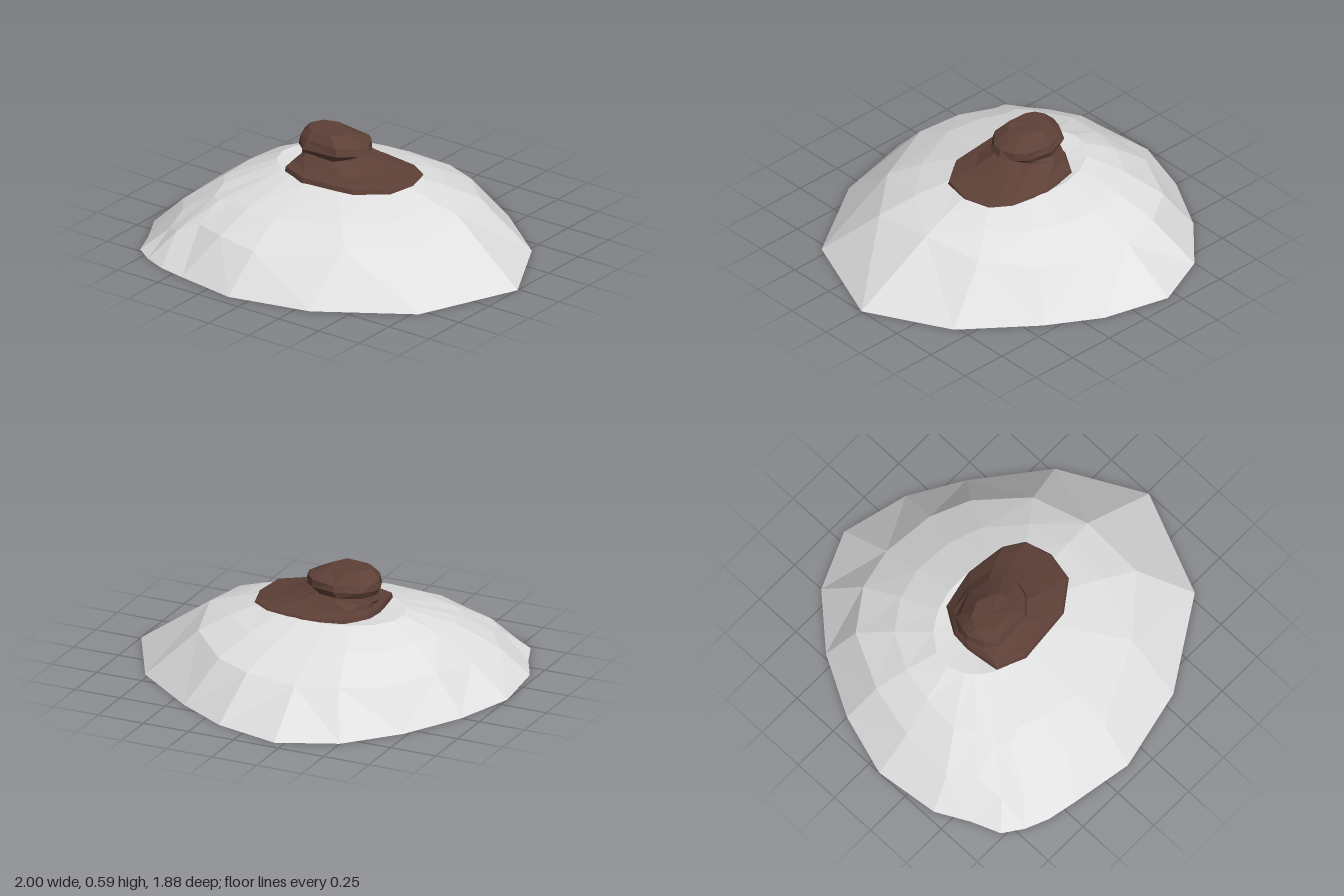
import * as THREE from 'three';

const gap = (p, q) => Math.hypot(p[0] - q[0], p[1] - q[1], p[2] - q[2]);

// Lofts rings of [x, y, z] into a faceted surface, splitting each quad along its
// shorter diagonal; the ends can be closed.
function loft(rings, closed) {
  const pos = [];
  const tri = (...pts) => pts.forEach((p) => pos.push(...p));
  const n = rings[0].length;
  for (let j = 0; j < rings.length - 1; j++) {
    for (let i = 0; i < n; i++) {
      const k = (i + 1) % n;
      const a = rings[j][i], b = rings[j][k], c = rings[j + 1][k], d = rings[j + 1][i];
      if (gap(b, d) < gap(a, c)) tri(a, d, b, b, d, c);
      else tri(a, d, c, a, c, b);
    }
  }
  const cap = (ring, top) => {
    const mid = [0, 1, 2].map((q) => ring.reduce((s, p) => s + p[q], 0) / n);
    ring.forEach((p, i) => {
      const next = ring[(i + 1) % n];
      if (top) tri(p, mid, next);
      else tri(p, next, mid);
    });
  };
  if (closed) {
    cap(rings[rings.length - 1], true);
    cap(rings[0], false);
  }
  const g = new THREE.BufferGeometry();
  g.setAttribute('position', new THREE.Float32BufferAttribute(pos, 3));
  g.computeVertexNormals();
  return g;
}

function moundGeometry() {
  // Ground outline (x, z)
  const outline = [
    [1, 0.01], [0.78, 0.54], [0.32, 0.835], [-0.11, 0.935], [-0.44, 0.88], [-0.59, 0.85],
    [-0.71, 0.8], [-0.81, 0.73], [-0.87, 0.58], [-0.96, 0.41], [-1, 0.07], [-0.9, -0.25],
    [-0.73, -0.56], [-0.5, -0.815], [-0.2, -0.945], [0.15, -0.855], [0.42, -0.695], [0.77, -0.42],
  ];
  // Uneven shoulder halfway up the slope, with a ledge at the front (x, y, z)
  const shoulder = [
    [0.6, 0.285, -0.03], [0.6, 0.24, 0.31], [0.32, 0.235, 0.55], [-0.09, 0.19, 0.755],
    [-0.32, 0.2, 0.72], [-0.5, 0.19, 0.65], [-0.61, 0.14, 0.69], [-0.7, 0.11, 0.63],
    [-0.72, 0.16, 0.49], [-0.82, 0.14, 0.36], [-0.8, 0.17, 0.07], [-0.74, 0.2, -0.2],
    [-0.6, 0.2, -0.48], [-0.4, 0.21, -0.62], [-0.18, 0.2, -0.67], [0.1, 0.21, -0.64],
    [0.3, 0.22, -0.55], [0.52, 0.25, -0.33],
  ];
  const ellipse = (cx, rx, rz, y) => outline.map(([x, z]) => {
    const a = Math.atan2(z, x);
    return [cx + rx * Math.cos(a), y, rz * Math.sin(a)];
  });
  const crown = ellipse(-0.08, 0.375, 0.26, 0.377);
  const upper = shoulder.map((p, i) => {
    const t = 0.5 - 0.15 * Math.max(0, p[2]);
    const q = crown[i];
    const lift = (0.3 - p[1]) * 0.2;
    return [p[0] + (q[0] - p[0]) * t, p[1] + (q[1] - p[1]) * t + lift, p[2] + (q[2] - p[2]) * t];
  });
  // The top stays open beneath the rock
  const opening = ellipse(0, 0.21, 0.21, 0.36);
  return loft([outline.map(([x, z]) => [x, 0, z]), shoulder, upper, crown, opening], false);
}

function rockGeometry() {
  let seed = 7;
  const jitter = (s) => {
    seed = (seed * 16807) % 2147483647;
    return (seed / 2147483647 - 0.5) * s;
  };
  // Footprint of the sloping slab (x, z)
  const foot = [
    [0.33, -0.02], [0.3, 0.13], [0.15, 0.24], [-0.15, 0.27], [-0.3, 0.21], [-0.32, 0.02],
    [-0.31, -0.08], [-0.23, -0.21], [-0.02, -0.255], [0.19, -0.225], [0.29, -0.16],
  ];
  const base = foot.map(([x, z]) => [x, 0.373 + x * 0.025, z]);
  const lip = foot.map(([x, z]) => [x * 0.985, 0.393 + z * 0.03 + jitter(0.008), z * 0.97]);
  // Low slab top, rising towards the knob
  const slab = foot.map(([x, z]) => [x * 0.72 - 0.07, 0.418 + jitter(0.012), z * 0.76]);
  // Knob cross-sections: centre x, centre z, radius x, radius z, height, tilt
  const knob = [
    [-0.14, 0.005, 0.17, 0.16, 0.455, 0.015],
    [-0.145, 0.005, 0.155, 0.145, 0.47, 0],
    [-0.125, 0.01, 0.195, 0.165, 0.5, 0],
    [-0.125, 0.01, 0.18, 0.155, 0.54, 0],
    [-0.155, 0.03, 0.11, 0.09, 0.583, 0],
  ].map(([cx, cz, rx, rz, y, tilt]) => foot.map(([x, z]) => {
    const a = Math.atan2(z, x);
    const r = 1 + jitter(0.1);
    return [cx + rx * r * Math.cos(a), y + tilt * Math.cos(a) + jitter(0.014), cz + rz * r * Math.sin(a)];
  }));
  return loft([base, lip, slab, ...knob], true);
}

export function createModel() {
  const paleGrey = new THREE.MeshStandardMaterial({ color: 0xe0e0e0, side: THREE.DoubleSide });
  paleGrey.name = 'pale grey';
  const darkBrown = new THREE.MeshStandardMaterial({ color: 0x5d4037 });
  darkBrown.name = 'dark brown';

  const group = new THREE.Group();
  group.name = 'rockOnMound';
  const mound = new THREE.Mesh(moundGeometry(), paleGrey);
  mound.name = 'mound';
  const rock = new THREE.Mesh(rockGeometry(), darkBrown);
  rock.name = 'rock';
  group.add(mound, rock);
  return group;
}
